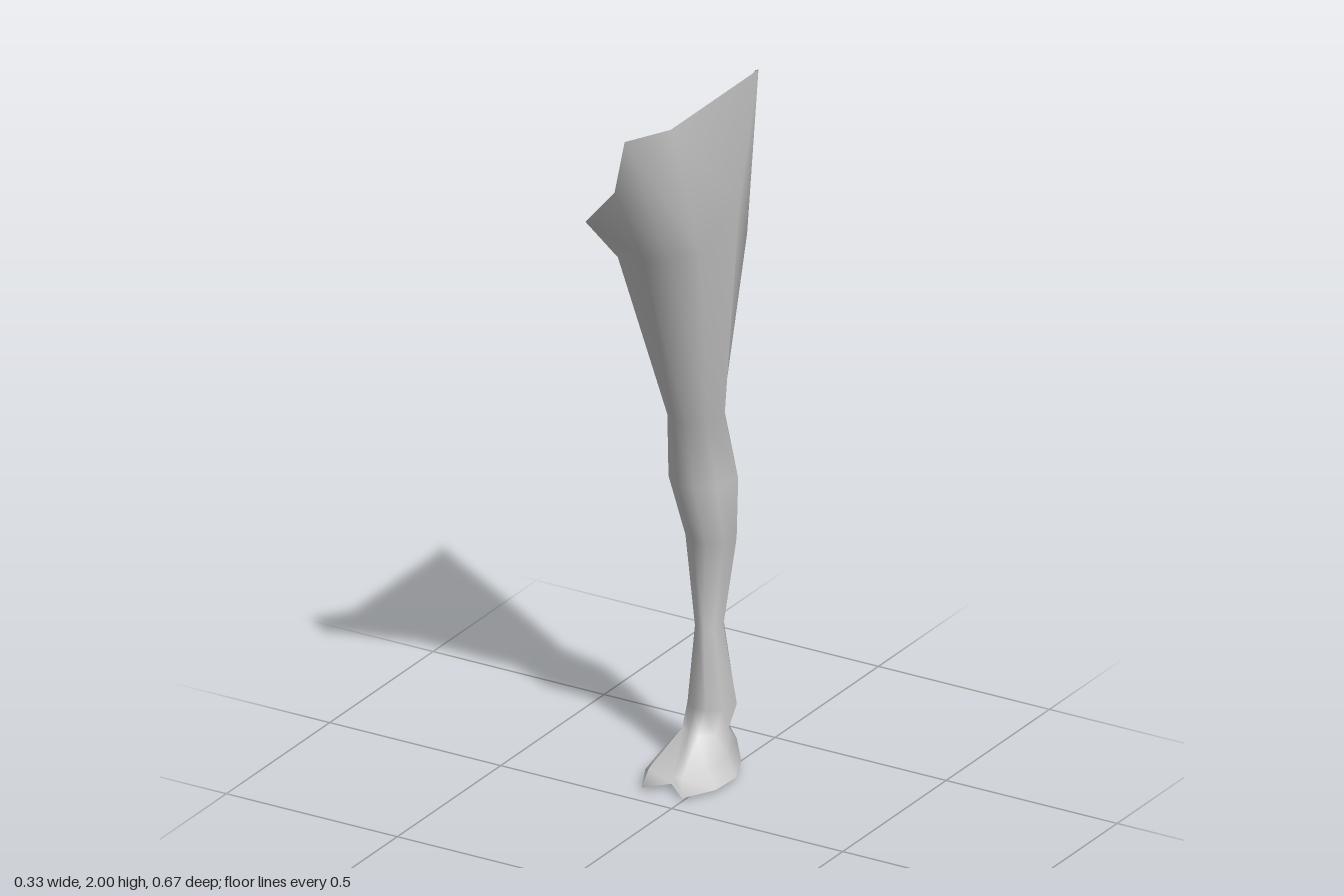
import * as THREE from 'three';

// Directions of the nine lengthwise edges, measured from +x towards +z
const angles = [35, 75, 105, 145, 190, 225, 265, 300, 345].map(THREE.MathUtils.degToRad);

// Oval cross-section from its height and extents
function ring(y, x0, x1, z0, z1) {
  return angles.map(a => [
    (x0 + x1) / 2 + Math.cos(a) * (x1 - x0) / 2,
    y,
    (z0 + z1) / 2 + Math.sin(a) * (z1 - z0) / 2,
  ]);
}

// Skin joining closed cross-sections from top to bottom
function loft(name, rings, material) {
  const n = angles.length, index = [];
  for (let r = 0; r < rings.length - 1; r++) {
    for (let i = 0; i < n; i++) {
      const a = r * n + i, b = r * n + (i + 1) % n;
      index.push(a, b, a + n, b, b + n, a + n);
    }
  }
  const geometry = new THREE.BufferGeometry();
  geometry.setAttribute('position', new THREE.Float32BufferAttribute(rings.flat(2), 3));
  geometry.setIndex(index);
  geometry.computeVertexNormals();
  const mesh = new THREE.Mesh(geometry, material);
  mesh.name = name;
  return mesh;
}

export function createModel() {
  const group = new THREE.Group();
  group.name = 'leg';
  const material = new THREE.MeshStandardMaterial({ color: 0xcccccc, side: THREE.DoubleSide });

  // Slanted open rim at the hip
  const rim = [
    [0.148, 2, 0.25], [0.065, 1.98, 0.335], [0.02, 1.82, 0.31],
    [-0.11, 1.68, 0.235], [-0.153, 1.55, -0.08], [-0.11, 1.59, -0.165],
    [0, 1.73, -0.203], [0.12, 1.98, -0.205], [0.148, 2, -0.175],
  ];
  // Fullest part of the thigh
  const thigh = [
    [0.142, 1.6, 0.1], [0.07, 1.58, 0.14], [0, 1.56, 0.132],
    [-0.1, 1.53, 0.095], [-0.147, 1.48, -0.05], [-0.11, 1.45, -0.17],
    [-0.02, 1.45, -0.218], [0.09, 1.52, -0.216], [0.162, 1.68, -0.06],
  ];
  // Top of the foot with two toes and a cleft between them
  const footTop = [
    [0.02, 0.05, -0.14], [-0.01, 0.055, -0.065], [-0.055, 0.035, -0.1],
    [-0.11, 0.055, -0.07], [-0.14, 0.05, -0.16], [-0.115, 0.06, -0.28],
    [-0.05, 0.07, -0.322], [0, 0.07, -0.315], [0.03, 0.06, -0.22],
  ];
  const soleEdge = [
    [0.05, 0.012, -0.13], [0, 0.008, -0.05], [-0.055, 0.02, -0.09],
    [-0.12, 0.008, -0.053], [-0.165, 0.012, -0.145], [-0.135, 0.008, -0.29],
    [-0.05, 0.005, -0.325], [0.01, 0.008, -0.32], [0.055, 0.012, -0.22],
  ];

  // Thigh, knee, calf, ankle and foot as one skin
  group.add(loft('legSkin', [
    rim,
    thigh,
    ring(1.01, -0.107, 0.035, -0.262, -0.1),
    ring(0.83, -0.12, 0.056, -0.303, -0.117),
    ring(0.65, -0.1, 0.035, -0.303, -0.187),
    ring(0.4, -0.075, -0.007, -0.297, -0.207),
    ring(0.18, -0.107, 0.018, -0.337, -0.207),
    ring(0.11, -0.117, 0, -0.325, -0.2),
    footTop,
    soleEdge,
  ], material));

  // Flat underside of the foot
  const centre = angles.map(() => [-0.05, 0, -0.2]);
  group.add(loft('sole', [soleEdge, centre], material));

  return group;
}
